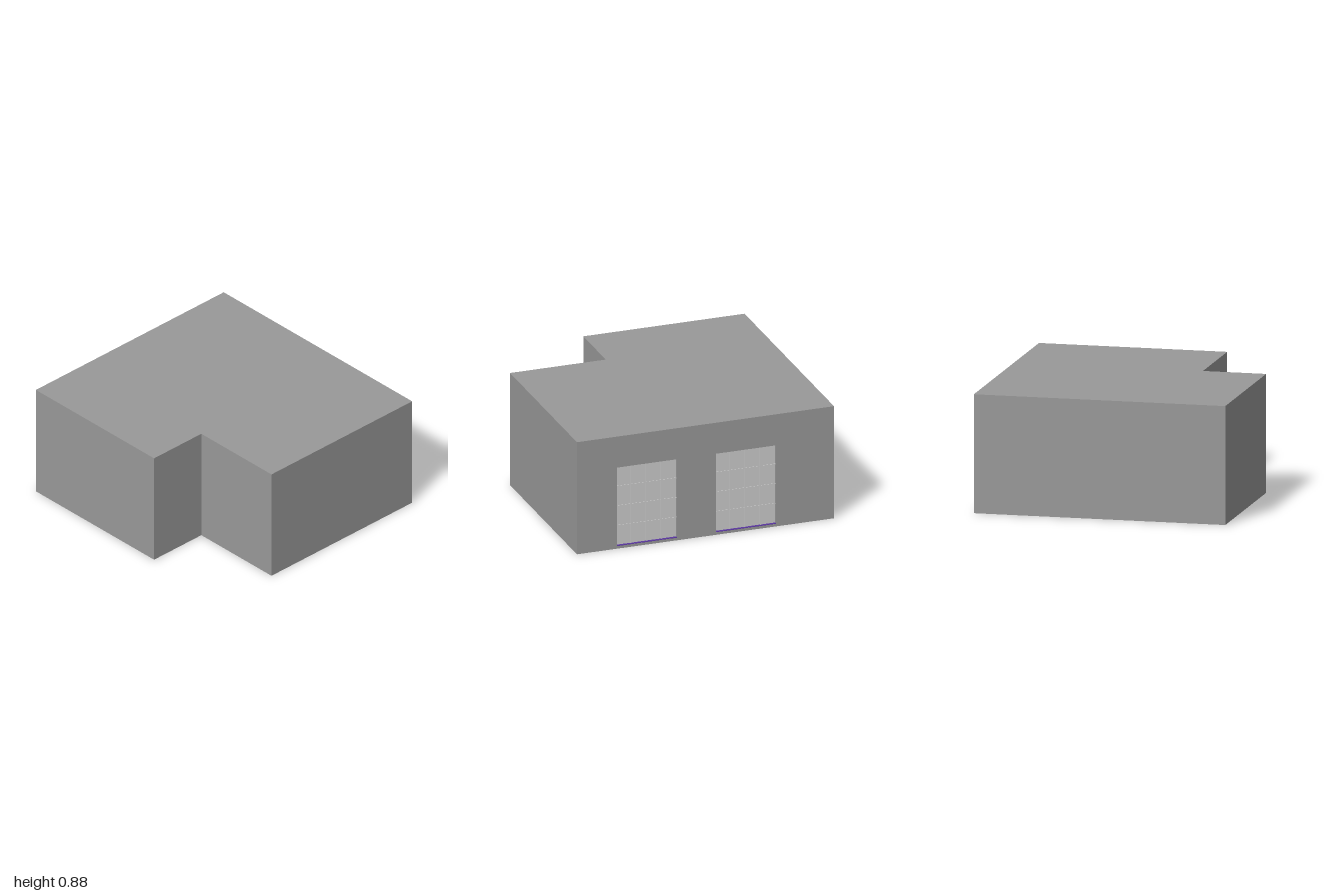
import * as THREE from 'three';

const H = 0.885;       // wall height
const X = 0.945;       // outer face of the window wall
const DEPTH = 0.025;   // depth of the window recesses
const WIN = { w: 0.47, y0: 0.02, y1: 0.64, cols: 4, rows: 4 };
const WINDOW_Z = [0.455, -0.315];

const wallMat = new THREE.MeshStandardMaterial({ color: 0x999999 });
const paneMat = new THREE.MeshStandardMaterial({ color: 0xcccccc });
const sillMat = new THREE.MeshStandardMaterial({ color: 0x5a36a0 });

function addMesh(parent, name, geometry, material, x = 0, y = 0, z = 0) {
  const mesh = new THREE.Mesh(geometry, material);
  mesh.name = name;
  mesh.position.set(x, y, z);
  parent.add(mesh);
  return mesh;
}

const polygon = (points) => new THREE.Shape(points.map(([x, y]) => new THREE.Vector2(x, y)));
const rect = (a, b, c, d) => [[a, c], [b, c], [b, d], [a, d]];

// Panes, glazing bars and sill of one recessed window
function createWindow(z) {
  const group = new THREE.Group();
  group.name = 'window';
  const { w, y0, y1, cols, rows } = WIN;
  const h = y1 - y0, midY = (y0 + y1) / 2;
  const back = X - DEPTH, bar = 0.006;
  addMesh(group, 'glass', new THREE.BoxGeometry(0.004, h, w), paneMat, back + 0.002, midY, 0);
  for (let i = 1; i < cols; i++) {
    addMesh(group, 'verticalBar', new THREE.BoxGeometry(0.008, h, bar), paneMat,
      back + 0.006, midY, -w / 2 + (i * w) / cols);
  }
  for (let j = 1; j < rows; j++) {
    addMesh(group, 'horizontalBar', new THREE.BoxGeometry(0.006, bar, w), paneMat,
      back + 0.005, y0 + (j * h) / rows, 0);
  }
  addMesh(group, 'sill', new THREE.BoxGeometry(DEPTH - 0.001, 0.003, w), sillMat,
    back + DEPTH / 2, y0 + 0.0015, 0);
  group.position.z = z;
  return group;
}

export function createModel() {
  const model = new THREE.Group();
  model.name = 'building';

  // L-shaped block behind the window wall
  const plan = polygon([
    [-X, 1], [-X, -0.255], [-0.47, -0.255], [-0.47, -1], [X - DEPTH, -1], [X - DEPTH, 1],
  ]);
  const block = new THREE.ExtrudeGeometry(plan, { depth: H, bevelEnabled: false });
  block.rotateX(-Math.PI / 2);
  addMesh(model, 'mainBlock', block, wallMat);

  // Outer wall layer with two openings
  const face = polygon(rect(-1, 1, 0, H));
  for (const z of WINDOW_Z) {
    const hole = polygon(rect(-z - WIN.w / 2, -z + WIN.w / 2, WIN.y0, WIN.y1));
    face.holes.push(hole);
  }
  const wall = new THREE.ExtrudeGeometry(face, { depth: DEPTH, bevelEnabled: false });
  wall.rotateY(Math.PI / 2);
  addMesh(model, 'windowWall', wall, wallMat, X - DEPTH);

  for (const z of WINDOW_Z) model.add(createWindow(z));
  return model;
}
